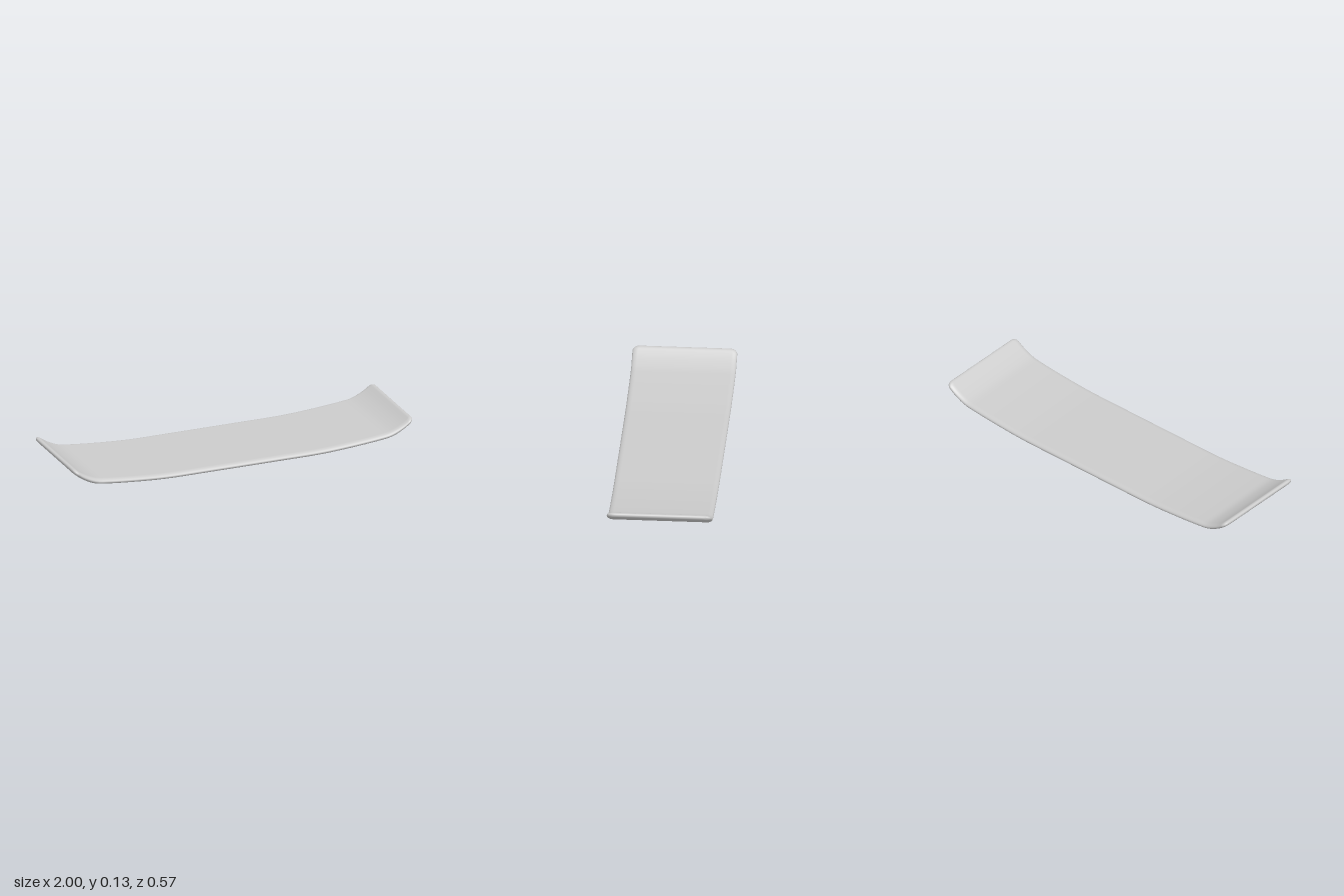
import * as THREE from 'three';
import { mergeVertices } from 'three/addons/utils/BufferGeometryUtils.js';

const HALF_WIDTH = 0.286, HALF_THICK = 0.016;
const EDGE = 0.03;      // roundness of the long edges, across the width
const CORNER = 0.035;   // plan radius of the four corners
const NOSE = 0.018;     // length of the rounded end lips

// Centreline of the slab: flat middle, gently rising, then upturned ends
function centreline() {
  const half = [[0.2, 0.018], [0.45, 0.019], [0.6, 0.027], [0.8, 0.045], [0.87, 0.056], [0.94, 0.088], [1, 0.131]];
  const points = [
    ...half.map(([x, y]) => new THREE.Vector3(-x, y, 0)).reverse(),
    ...half.map(([x, y]) => new THREE.Vector3(x, y, 0)),
  ];
  const curve = new THREE.CatmullRomCurve3(points, false, 'centripetal');
  curve.arcLengthDivisions = 1000;
  return curve;
}

// Quarter-round ease: 0 at the very end, 1 beyond the radius
function quarterRound(distance, radius) {
  const k = 1 - Math.min(distance / radius, 1);
  return Math.sqrt(Math.max(0, 1 - k * k));
}

// Flat section with elliptical edges, as [z, offset along the surface normal]
function section(w, t) {
  const ring = [], n = 10;
  for (const side of [1, -1]) {
    for (let i = 0; i <= n; i++) {
      const a = -Math.PI / 2 + Math.PI * i / n;
      ring.push([side * (w - EDGE + EDGE * Math.cos(a)), side * t * Math.sin(a)]);
    }
  }
  return ring;
}

function slabGeometry() {
  const curve = centreline(), length = curve.getLength();
  // Stations packed closely at the rounded ends, even in between
  const ends = [];
  for (let i = 0; i < 12; i++) ends.push(CORNER * (1 - Math.cos(Math.PI / 2 * i / 12)));
  const stations = [...ends];
  for (let i = 0; i <= 90; i++) stations.push(CORNER + (length - 2 * CORNER) * i / 90);
  stations.push(...ends.map(d => length - d).reverse());

  const positions = [], index = [];
  let count = 0;
  stations.forEach((s, i) => {
    const u = THREE.MathUtils.clamp(s / length, 0, 1);
    const p = curve.getPointAt(u), tan = curve.getTangentAt(u);
    const d = Math.max(0, Math.min(s, length - s));
    const w = HALF_WIDTH - CORNER * (1 - quarterRound(d, CORNER));
    const t = HALF_THICK * quarterRound(d, NOSE) * (0.8 + 0.2 * Math.min(d / 0.12, 1));
    const ring = section(w, t);
    count = ring.length;
    for (const [z, h] of ring) positions.push(p.x - tan.y * h, p.y + tan.x * h, z);
    if (i === 0) return;
    for (let j = 0; j < count; j++) {
      const k = (j + 1) % count, a = (i - 1) * count, b = i * count;
      index.push(a + j, b + j, a + k, b + j, b + k, a + k);
    }
  });
  let geometry = new THREE.BufferGeometry();
  geometry.setAttribute('position', new THREE.Float32BufferAttribute(positions, 3));
  geometry.setIndex(index);
  geometry = mergeVertices(geometry, 1e-5);
  geometry.computeVertexNormals();
  // Stand on the ground
  geometry.computeBoundingBox();
  geometry.translate(0, -geometry.boundingBox.min.y + 0.002, 0);
  return geometry;
}

export function createModel() {
  const group = new THREE.Group();
  group.name = 'curvedTray';
  const slab = new THREE.Mesh(slabGeometry(), new THREE.MeshStandardMaterial({ color: 0xcccccc }));
  slab.name = 'traySlab';
  group.add(slab);
  return group;
}
